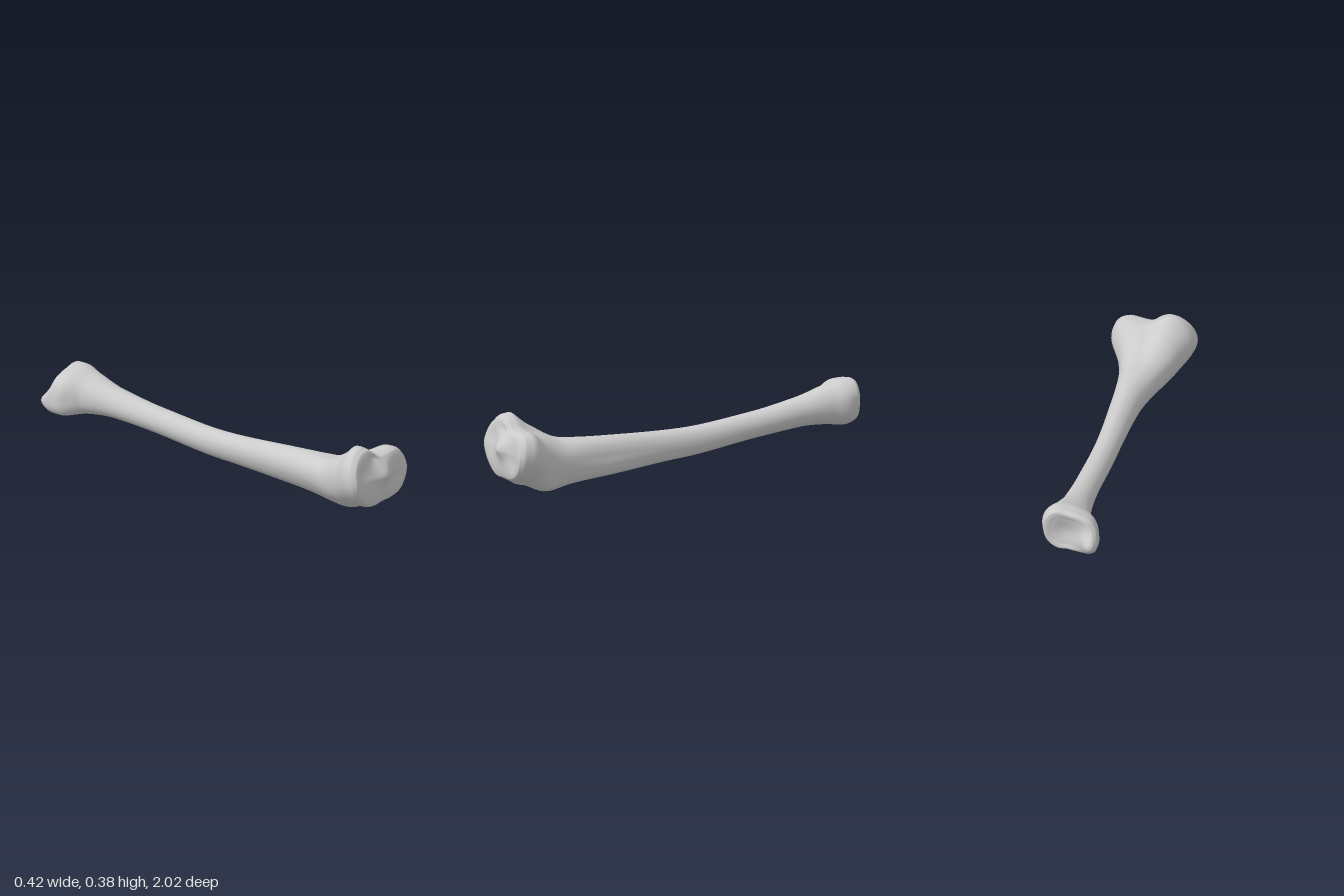
import * as THREE from 'three';

// Cross-sections: [z, centreX, centreY, twelve radii at 30 degree steps from +x]
const PROXIMAL = [
  [0.972, 0, 0.21, 0.19, 0.18, 0.112, 0.1, 0.172, 0.2, 0.2, 0.172, 0.15, 0.127, 0.142, 0.175],
  [0.945, 0, 0.21, 0.207, 0.193, 0.125, 0.112, 0.19, 0.217, 0.215, 0.188, 0.162, 0.145, 0.156, 0.188],
  [0.90, 0, 0.21, 0.208, 0.192, 0.125, 0.115, 0.193, 0.215, 0.212, 0.187, 0.166, 0.168, 0.175, 0.19],
  [0.80, 0, 0.18, 0.15, 0.142, 0.12, 0.108, 0.155, 0.172, 0.165, 0.157, 0.148, 0.168, 0.188, 0.163],
  [0.65, 0.01, 0.14, 0.102, 0.104, 0.105, 0.1, 0.111, 0.12, 0.114, 0.107, 0.11, 0.123, 0.132, 0.112],
];
const SHAFT = [
  [0.40, 0.02, 0.14, 0.07, 0.074, 0.085, 0.09, 0.086, 0.08, 0.075, 0.075, 0.085, 0.1, 0.105, 0.084],
  [0.0, 0.015, 0.145, 0.06, 0.062, 0.068, 0.071, 0.068, 0.064, 0.06, 0.06, 0.066, 0.074, 0.075, 0.065],
  [-0.40, 0.013, 0.185, 0.063, 0.064, 0.066, 0.066, 0.064, 0.062, 0.061, 0.061, 0.063, 0.066, 0.066, 0.064],
  [-0.65, 0.01, 0.217, 0.073, 0.075, 0.077, 0.076, 0.074, 0.073, 0.074, 0.075, 0.074, 0.073, 0.073, 0.073],
];
const DISTAL = [
  [-0.80, 0, 0.235, 0.104, 0.108, 0.11, 0.098, 0.093, 0.098, 0.1, 0.105, 0.1, 0.094, 0.098, 0.102],
  [-0.89, -0.01, 0.24, 0.136, 0.145, 0.138, 0.118, 0.118, 0.137, 0.148, 0.163, 0.126, 0.108, 0.12, 0.132],
  [-0.93, -0.01, 0.24, 0.126, 0.141, 0.139, 0.117, 0.119, 0.14, 0.15, 0.162, 0.122, 0.1, 0.112, 0.122],
  [-0.95, -0.01, 0.24, 0.112, 0.126, 0.128, 0.104, 0.106, 0.125, 0.134, 0.146, 0.108, 0.088, 0.1, 0.11],
];
const SECTIONS = [...PROXIMAL, ...SHAFT, ...DISTAL];
const SIDES = 72;

// Cubic through uneven stations; slopes flatten at peaks so nothing overshoots
function sectionAt(z) {
  let i = 0;
  while (i < SECTIONS.length - 2 && z < SECTIONS[i + 1][0]) i++;
  const a = SECTIONS[i], b = SECTIONS[i + 1];
  const h = b[0] - a[0], t = (z - a[0]) / h;
  const secant = (n, k) => (SECTIONS[n + 1][k] - SECTIONS[n][k]) / (SECTIONS[n + 1][0] - SECTIONS[n][0]);
  const slope = (n, k) => {
    if (n === 0) return secant(0, k);
    if (n === SECTIONS.length - 1) return secant(n - 1, k);
    const p = secant(n - 1, k), q = secant(n, k);
    return p * q <= 0 ? 0 : 2 * p * q / (p + q);
  };
  return a.map((v, k) => {
    const d = b[k] - v, m0 = slope(i, k) * h, m1 = slope(i + 1, k) * h;
    return v + m0 * t + (3 * d - 2 * m0 - m1) * t * t + (m0 + m1 - 2 * d) * t * t * t;
  });
}

// Periodic spline through the twelve radii
function radiusAt(section, u) {
  const f = u * 12, i = Math.floor(f), t = f - i;
  const r = n => section[3 + (i + n + 12) % 12];
  const m0 = (r(1) - r(-1)) / 2, m1 = (r(2) - r(0)) / 2, d = r(1) - r(0);
  return r(0) + m0 * t + (3 * d - 2 * m0 - m1) * t * t + (m0 + m1 - 2 * d) * t * t * t;
}

const bump = (x, y, cx, cy, s) => Math.exp(-((x - cx) ** 2 + (y - cy) ** 2) / (2 * s * s));

// Joint relief: tilted plateau with twin dishes and a central eminence,
// and a hollow far end with a projecting ankle process
function relief(x, y, z, inner) {
  const front = THREE.MathUtils.smoothstep(z, 0.84, 0.96);
  const back = THREE.MathUtils.smoothstep(-z, 0.82, 0.95);
  let dz = front * (-0.25 * Math.max(0, y - 0.22) + 0.01 * THREE.MathUtils.smoothstep(x, 0, 0.15));
  dz -= back * 0.058 * bump(x, y, -0.135, 0.2, 0.038);
  if (z > 0) {
    dz += inner * (0.028 * bump(x, y, 0.005, 0.23, 0.034) - 0.014 * bump(x, y, -0.125, 0.25, 0.05)
      - 0.014 * bump(x, y, 0.115, 0.2, 0.05) - 0.014 * bump(x, y, -0.035, 0.32, 0.025));
  } else {
    dz += inner * 0.028 * bump(x, y, 0.0, 0.245, 0.055);
  }
  return z + dz;
}

function ring(z, scale = 1, lift = 0) {
  const s = sectionAt(z), points = [];
  const inner = THREE.MathUtils.clamp((1 - scale) * 4, 0, 1);
  for (let j = 0; j < SIDES; j++) {
    const a = j / SIDES * Math.PI * 2, r = radiusAt(s, j / SIDES) * scale;
    const x = s[1] + r * Math.cos(a), y = s[2] + r * Math.sin(a);
    points.push(x, y, relief(x, y, z + lift, inner));
  }
  return points;
}

function gridIndex(rows) {
  const index = [];
  for (let i = 0; i < rows - 1; i++) {
    for (let j = 0; j < SIDES; j++) {
      const k = (j + 1) % SIDES;
      const a = i * SIDES + j, b = i * SIDES + k, c = a + SIDES, d = b + SIDES;
      index.push(a, c, b, b, c, d);
    }
  }
  return index;
}

export function createModel() {
  const group = new THREE.Group();
  group.name = 'shinBone';
  const material = new THREE.MeshStandardMaterial({ color: 0xcccccc, roughness: 0.8 });

  // Rings run from the centre of the near cap, along the bone, to the far cap
  const rings = [];
  const capSteps = 20, zTop = SECTIONS[0][0], zEnd = SECTIONS[SECTIONS.length - 1][0];
  for (let i = 0; i < capSteps; i++) {
    const s = Math.max(0.004, i / capSteps);
    rings.push(ring(zTop, s, 0.012 * (1 - s ** 4)));
  }
  let shaftStart = 0, shaftEnd = 0;
  for (let n = 0; n < SECTIONS.length - 1; n++) {
    const z0 = SECTIONS[n][0], z1 = SECTIONS[n + 1][0];
    if (n === PROXIMAL.length - 1) shaftStart = rings.length;
    if (n === PROXIMAL.length + SHAFT.length - 1) shaftEnd = rings.length;
    for (let i = 0; i < 8; i++) rings.push(ring(z0 + (z1 - z0) * i / 8));
  }
  for (let i = capSteps; i >= 0; i--) {
    const s = Math.max(0.004, i / capSteps);
    rings.push(ring(zEnd, s, -0.008 * (1 - s ** 4)));
  }

  // Normals are found on the whole skin so the three parts join smoothly
  const skin = new THREE.BufferGeometry();
  skin.setAttribute('position', new THREE.Float32BufferAttribute(rings.flat(), 3));
  skin.setIndex(gridIndex(rings.length));
  skin.computeVertexNormals();

  const addPart = (name, from, to) => {
    const geometry = new THREE.BufferGeometry();
    for (const key of ['position', 'normal']) {
      const data = skin.attributes[key].array.slice(from * SIDES * 3, (to + 1) * SIDES * 3);
      geometry.setAttribute(key, new THREE.BufferAttribute(data, 3));
    }
    geometry.setIndex(gridIndex(to - from + 1));
    const mesh = new THREE.Mesh(geometry, material);
    mesh.name = name;
    group.add(mesh);
  };
  addPart('kneeEnd', 0, shaftStart);
  addPart('shaft', shaftStart, shaftEnd);
  addPart('ankleEnd', shaftEnd, rings.length - 1);
  return group;
}
